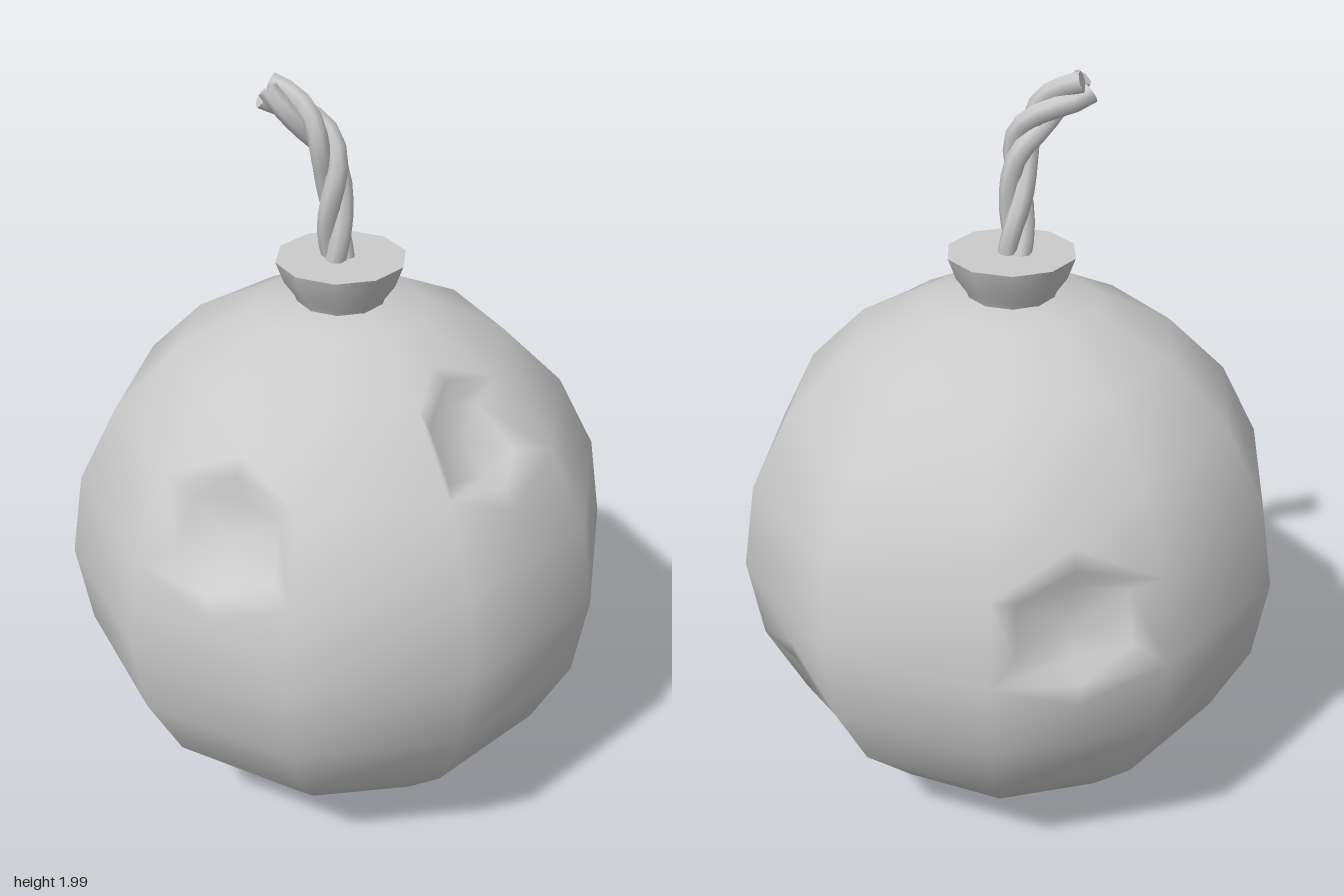
import * as THREE from 'three';

const N = 10;                 // columns and rings of the ball
const R = 0.722;              // ball radius, resting on y = 0
const TURN = THREE.MathUtils.degToRad(4.8);
// dented faces: [ring, column]
const DENTS = [[3, 2], [2, 0], [7, 3], [6, 4], [6, 8], [4, 6]];

function ballPoint(i, a) {
  const p = (i * Math.PI) / N;
  return new THREE.Vector3(
    R * Math.sin(p) * Math.cos(a), R + R * Math.cos(p), R * Math.sin(p) * Math.sin(a));
}
const angle = (j) => TURN + (j * 2 * Math.PI) / N;

// Coarse smooth ball whose dented faces get a bulging rim and a sunken floor
function ballGeometry() {
  const positions = [], index = [], points = [], known = new Map();
  const add = (v) => {
    positions.push(v.x, v.y, v.z);
    return points.push(v) - 1;
  };
  const corner = (i, j) => {
    const key = i % N === 0 ? `pole${i}` : `${i},${j % N}`;
    if (!known.has(key)) known.set(key, add(ballPoint(i, angle(j))));
    return known.get(key);
  };
  // Rim midpoints lie on the ring edges above and below a dent, shifted outward
  const mids = new Map();
  for (const [i, j] of DENTS) {
    for (const [ring, next, t] of [[i, i - 1, 0.2], [i + 1, i + 2, 0.13]]) {
      const mid = (r) => ballPoint(r, angle(j)).add(ballPoint(r, angle(j + 1))).multiplyScalar(0.5);
      mids.set(`${ring},${j}`, add(mid(ring).lerp(mid(next), t)));
    }
  }
  const middle = (ids) => ids.reduce((s, k) => s.add(points[k]), new THREE.Vector3())
    .divideScalar(ids.length);
  const fan = (ids, c) => ids.forEach((a, k) => index.push(a, ids[(k + 1) % ids.length], c));

  for (let i = 0; i < N; i++) {
    for (let j = 0; j < N; j++) {
      if (i === 0) { index.push(corner(0, 0), corner(1, j + 1), corner(1, j)); continue; }
      if (i === N - 1) { index.push(corner(i, j), corner(i, j + 1), corner(N, 0)); continue; }
      const up = mids.get(`${i},${j}`), low = mids.get(`${i + 1},${j}`);
      const rim = [corner(i, j), up, corner(i, j + 1), corner(i + 1, j + 1), low, corner(i + 1, j)]
        .filter((k) => k !== undefined);
      const c = middle(rim);
      if (!DENTS.some(([a, b]) => a === i && b === j)) {
        if (rim.length === 4) index.push(rim[0], rim[1], rim[2], rim[0], rim[2], rim[3]);
        else fan(rim, add(c));
        continue;
      }
      const inward = new THREE.Vector3(0, R, 0).sub(c).normalize().multiplyScalar(0.05);
      const floor = rim.map((k) => add(points[k].clone().lerp(c, 0.35).add(inward)));
      rim.forEach((a, k) => {
        const n = (k + 1) % rim.length;
        index.push(a, rim[n], floor[n], a, floor[n], floor[k]);
      });
      fan(floor, add(c.clone().add(inward)));
    }
  }
  const g = new THREE.BufferGeometry();
  g.setAttribute('position', new THREE.Float32BufferAttribute(positions, 3));
  g.setIndex(index);
  g.computeVertexNormals();
  return g;
}

// One strand of the fuse: a helix around the bent centre line
class Strand extends THREE.Curve {
  constructor(path, phase) {
    super();
    this.path = path;
    this.phase = phase;
  }
  getPoint(t, target = new THREE.Vector3()) {
    const tan = this.path.getTangent(t);
    const u = new THREE.Vector3(0, 0, 1).addScaledVector(tan, -tan.z).normalize();
    const v = new THREE.Vector3().crossVectors(tan, u);
    const a = this.phase + t * Math.PI * 2.2, r = 0.02 + 0.005 * t;
    return target.copy(this.path.getPoint(t))
      .addScaledVector(u, r * Math.cos(a)).addScaledVector(v, r * Math.sin(a));
  }
}

export function createModel() {
  const group = new THREE.Group();
  const material = new THREE.MeshStandardMaterial({ color: 0xcccccc });
  const add = (name, geometry, parent = group) => {
    const mesh = new THREE.Mesh(geometry, material);
    mesh.name = name;
    parent.add(mesh);
    return mesh;
  };

  add('ball', ballGeometry());

  // Flared collar with a flat lid
  const profile = [[0.108, 1.41], [0.118, 1.44], [0.146, 1.48], [0.166, 1.535]]
    .map(([x, y]) => new THREE.Vector2(x, y));
  add('collar', new THREE.LatheGeometry(profile, 10, Math.PI / 10));
  const lid = add('collarLid', new THREE.CircleGeometry(0.166, 10));
  lid.rotation.x = -Math.PI / 2;
  lid.position.y = 1.535;

  // Twisted fuse of three strands
  const fuse = new THREE.Group();
  fuse.name = 'fuse';
  group.add(fuse);
  const path = new THREE.CatmullRomCurve3([
    [-0.008, 1.52, 0.002], [-0.012, 1.66, 0.012], [-0.018, 1.8, 0.022],
    [-0.07, 1.89, 0.035], [-0.165, 1.957, 0.06],
  ].map((p) => new THREE.Vector3(...p)));
  for (let k = 0; k < 3; k++) {
    const strand = new Strand(path, (k * Math.PI * 2) / 3);
    add('fuseStrand', new THREE.TubeGeometry(strand, 12, 0.026, 7), fuse);
    const end = add('fuseStrandEnd', new THREE.CircleGeometry(0.026, 7), fuse);
    end.position.copy(strand.getPoint(1));
    end.quaternion.setFromUnitVectors(new THREE.Vector3(0, 0, 1), strand.getTangent(1));
  }
  return group;
}
